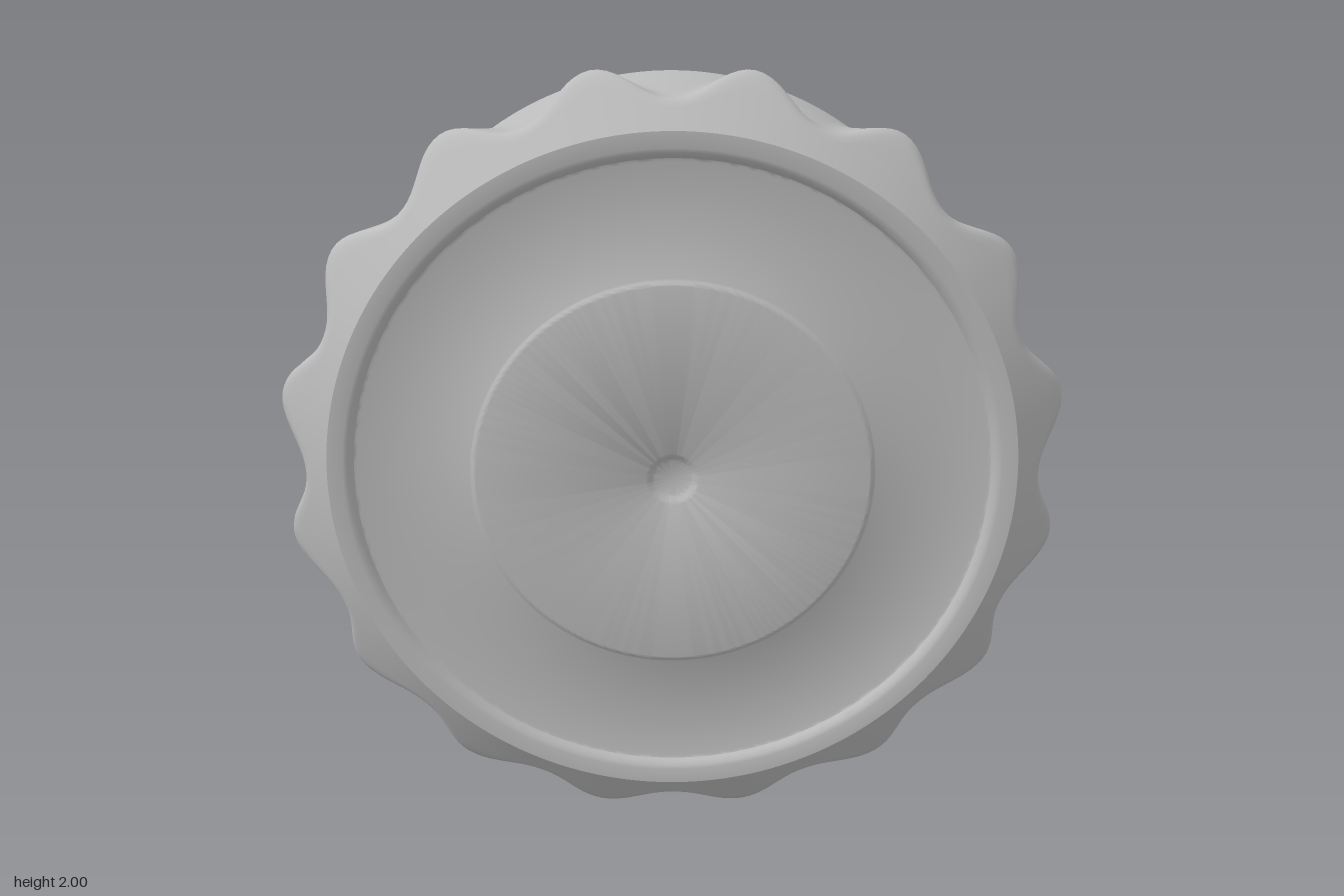
import * as THREE from 'three';
import { toCreasedNormals } from 'three/addons/utils/BufferGeometryUtils.js';

const SEGMENTS = 320;
const RIDGES = 16;
const BODY_R = 0.94;
const RIDGE_H = 0.08;
const RIDGE_BACK = -0.2;   // where the ridges fade out
const RIDGE_FRONT = 0.37;  // where they are tallest
const FACE_R = 0.87;
const FACE_Z = 0.49;
const SLOPE = 0.8;         // depth of the front chamfer per unit of radius

// Profile of [radius, z] points revolved about the z axis.
function revolve(profile) {
  const points = profile.map(([r, z]) => new THREE.Vector2(r, z));
  const geometry = new THREE.LatheGeometry(points, SEGMENTS);
  geometry.deleteAttribute('normal');
  geometry.rotateX(Math.PI / 2);
  return toCreasedNormals(geometry, 0.6);
}

// Skirt radius: ridges grow taller and wider from back to front.
function skirtRadius(angle, z) {
  const t = THREE.MathUtils.clamp((z - RIDGE_BACK) / (RIDGE_FRONT - RIDGE_BACK), 0, 1);
  const half = Math.PI / RIDGES;
  const fromTip = Math.abs((angle % (2 * half)) - half);
  const width = half * THREE.MathUtils.lerp(0.36, 1, t);
  const bump = fromTip < width ? Math.pow(0.5 + 0.5 * Math.cos(Math.PI * fromTip / width), 1.15) : 0;
  const height = (RIDGE_H - 0.008) * t + 0.008 * THREE.MathUtils.smoothstep(t, 0, 0.08);
  return BODY_R + height * bump;
}

// Cross-sections from the back edge to the front face, with a soft chamfer edge.
function skirtGeometry() {
  const rows = 32;
  const columns = [];
  for (let i = 0; i <= SEGMENTS; i++) {
    const angle = ((i % SEGMENTS) / SEGMENTS) * Math.PI * 2;
    const edgeR = skirtRadius(angle, FACE_Z);
    const edgeZ = FACE_Z - (edgeR - FACE_R) * SLOPE;
    const wallEnd = edgeZ - 0.014;
    const column = [[BODY_R, -0.48], [BODY_R, -0.34]];
    for (let j = 0; j <= rows; j++) {
      const z = THREE.MathUtils.lerp(RIDGE_BACK, wallEnd, Math.pow(j / rows, 1.3));
      column.push([skirtRadius(angle, z), z]);
    }
    column.push([edgeR - 0.003, edgeZ - 0.003]);
    for (const k of [0.15, 0.3, 0.65, 1]) {
      column.push([THREE.MathUtils.lerp(edgeR, FACE_R, k), THREE.MathUtils.lerp(edgeZ, FACE_Z, k)]);
    }
    columns.push(column.map(([r, z]) => [r * Math.cos(angle), r * Math.sin(angle), z]));
  }
  const count = columns[0].length;
  const index = [];
  for (let i = 0; i < SEGMENTS; i++) {
    for (let j = 0; j < count - 1; j++) {
      const a = i * count + j;
      const b = a + count;
      index.push(a, b, a + 1, b, b + 1, a + 1);
    }
  }
  const geometry = new THREE.BufferGeometry();
  geometry.setAttribute('position', new THREE.Float32BufferAttribute(columns.flat(2), 3));
  geometry.setIndex(index);
  return toCreasedNormals(geometry, 0.65);
}

export function createModel() {
  const grey = new THREE.MeshStandardMaterial({ color: 0xbcbcbc });
  grey.name = 'grey plastic';

  const cap = new THREE.Group();
  cap.name = 'cap';
  cap.position.y = 1;

  function add(name, geometry) {
    const mesh = new THREE.Mesh(geometry, grey);
    mesh.name = name;
    cap.add(mesh);
  }

  // Outer wall with grip ridges
  add('ridgedSkirt', skirtGeometry());

  // Raised rim, recessed face, stepped centre disc and dimple
  add('frontFace', revolve([
    [FACE_R, FACE_Z], [0.83, 0.49], [0.82, 0.487], [0.812, 0.48], [0.805, 0.472], [0.797, 0.47],
    [0.515, 0.47], [0.51, 0.473], [0.503, 0.479], [0.498, 0.48],
    [0.068, 0.48], [0.062, 0.477], [0.052, 0.468], [0.045, 0.465], [0, 0.465],
  ]));

  // Open back: inner floor, inner wall and rounded lip
  add('hollowInside', revolve([
    [0, 0.02], [0.885, 0.02], [0.885, -0.483], [0.892, -0.49], [0.932, -0.49], [BODY_R, -0.48],
  ]));

  const model = new THREE.Group();
  model.name = 'ridgedCap';
  model.add(cap);
  return model;
}
